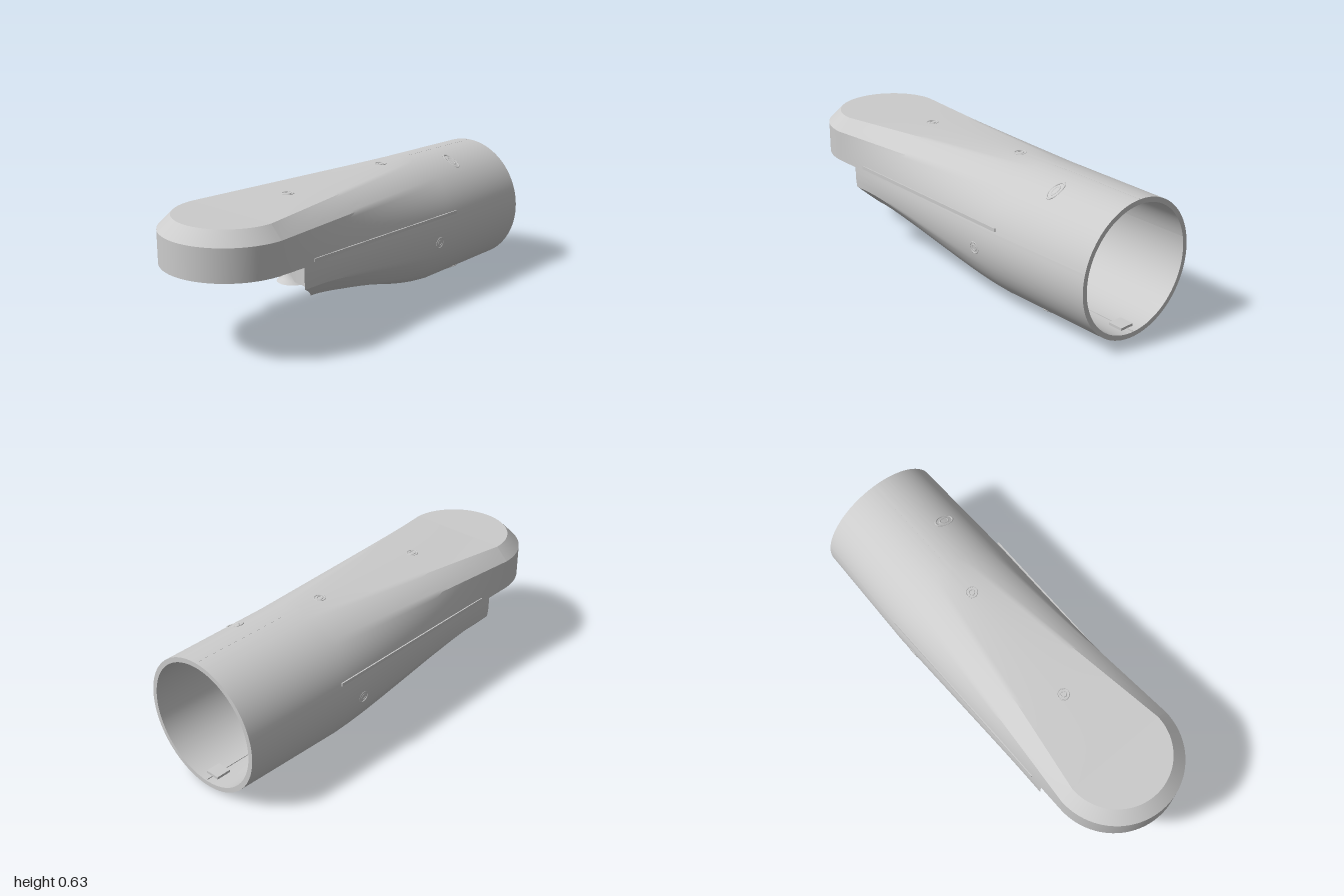
import * as THREE from 'three';
import { toCreasedNormals } from 'three/addons/utils/BufferGeometryUtils.js';

const mat = new THREE.MeshStandardMaterial({ color: 0xcccccc, side: THREE.DoubleSide });
const lerp = THREE.MathUtils.lerp;
const clamp = THREE.MathUtils.clamp;
const CY = 0.317;        // height of the tube axis
const NOSE_X = -0.69;    // centre of the round nose
const CUT_R = 0.337;     // radius of the concave cut under the nose
const NECK_X = 0.45;     // where the body becomes a round tube

// Half section: [z, y] at the nose and matching angle on the round tube
const KEYS = [
  [0, 0.6, 90], [0.25, 0.6, 76], [0.31, 0.54, 48], [0.31, 0.39, 13.3],
  [0.31, 0.29, -20], [0.25, 0.22, -48], [0, 0.22, -90],
];
const STEPS = 10;
// Underside height along the body
const keel = new THREE.SplineCurve([[-0.7, 0.22], [-0.44, 0.22], [-0.2, 0.165], [0, 0.105],
  [0.22, 0.042], [0.35, 0.013], [0.45, 0]].map(p => new THREE.Vector2(...p))).getPoints(80);

function keelAt(x) {
  const i = keel.findIndex(p => p.x >= x);
  if (i < 0) return 0;
  if (i === 0) return 0.22;
  const a = keel[i - 1], b = keel[i];
  return lerp(a.y, b.y, (x - a.x) / (b.x - a.x));
}

// Point of the body surface at key position u and length x
function bodyPoint(u, x, inner) {
  const k = Math.min(Math.floor(u), KEYS.length - 2), f = u - k;
  const [z0, y0, a0] = KEYS[k], [z1, y1, a1] = KEYS[k + 1];
  const a = THREE.MathUtils.degToRad(lerp(a0, a1, f));
  const s = clamp((x - NOSE_X) / (NECK_X - NOSE_X), 0, 1);
  const sy = u > 3 ? clamp((0.22 - keelAt(x)) / 0.22, 0, 1) : s;
  const m = clamp((x - NECK_X) / (1 - NECK_X), 0, 1);
  const rz = inner ? 0.29 : lerp(0.327, 0.3125, m);
  const ry = inner ? 0.29 : lerp(0.317, 0.3125, m);
  const g = inner ? 0.925 : 1;
  const z = lerp(lerp(z0, z1, f) * g, rz * Math.cos(a), s);
  const y = lerp(CY + (lerp(y0, y1, f) - CY) * g, CY + ry * Math.sin(a), sy);
  return [x, y, z];
}

// Where a strand of the lower body meets the concave cut
function cutX(u, inner) {
  let x = -0.5;
  for (let i = 0; i < 12; i++) {
    const z = bodyPoint(u, x, inner)[2];
    x = NOSE_X + Math.sqrt(Math.max(0, CUT_R * CUT_R - z * z));
  }
  return x;
}

// Quad surface from rows of points
function gridGeometry(rows) {
  const w = rows[0].length, index = [];
  for (let i = 0; i < rows.length - 1; i++) {
    for (let j = 0; j < w - 1; j++) {
      const a = i * w + j, b = a + 1, c = a + w, d = c + 1;
      index.push(a, c, b, b, c, d);
    }
  }
  const g = new THREE.BufferGeometry();
  g.setAttribute('position', new THREE.Float32BufferAttribute(rows.flat(2), 3));
  g.setIndex(index);
  return toCreasedNormals(g, 0.45);
}

// One strand running from the nose or cut to the tube mouth
function strand(u, side, inner, lower) {
  const x0 = lower ? cutX(u, inner) : NOSE_X, pts = [];
  for (let i = 0; i <= 28; i++) pts.push(bodyPoint(u, lerp(x0, NECK_X, i / 28), inner));
  pts.push(bodyPoint(u, 1, inner));
  return pts.map(([x, y, z]) => [x, y, z * side]);
}

// Strand positions over the top (0..3) or round the underside (3..6), both sides
function strands(lower) {
  const list = [], n = 3 * STEPS;
  for (let i = -n; i <= n; i++) {
    const t = Math.abs(i) / STEPS;
    list.push({ u: lower ? 6 - t : t, side: i < 0 ? -1 : 1 });
  }
  return list;
}

export function createModel() {
  const model = new THREE.Group();
  const add = (name, geometry, x = 0, y = 0, z = 0) => {
    const mesh = new THREE.Mesh(geometry, mat);
    mesh.name = name;
    mesh.position.set(x, y, z);
    model.add(mesh);
    return mesh;
  };

  // Hollow body: outer and inner skins, with a rim at the mouth
  for (const lower of [false, true]) {
    const label = lower ? 'lower' : 'upper', list = strands(lower);
    for (const inner of [false, true]) {
      const rows = list.map(({ u, side }) => strand(u, side, inner, lower));
      add(label + (inner ? 'InnerSkin' : 'OuterSkin'), gridGeometry(rows));
    }
    const rim = list.map(({ u, side }) => [false, true].map(inner => {
      const [x, y, z] = bodyPoint(u, 1, inner);
      return [x, y, z * side];
    }));
    add(label + 'MouthRim', gridGeometry(rim));
  }

  // Concave wall closing the lower body under the nose
  add('concaveWall', gridGeometry(strands(true).map(({ u, side }) => {
    const [x, y, z] = bodyPoint(u, cutX(u, false), false);
    return [[x, y, z * side], [x, 0.392, z * side]];
  })));

  // Round nose with a chamfered top edge
  const profile = [[0, 0.6], [0.25, 0.6], [0.31, 0.54], [0.31, 0.39]].map(p => new THREE.Vector2(...p));
  add('nose', toCreasedNormals(new THREE.LatheGeometry(profile, 48, Math.PI, Math.PI), 0.45), NOSE_X);

  // Mounting plate with a centre hole, curved slots and screw holes
  const plate = new THREE.Shape();
  plate.absarc(NOSE_X, 0, 0.308, Math.PI / 2, Math.PI * 1.5);
  [[-0.54, -0.308], [-0.48, -0.26], [-0.3, -0.2], [-0.3, 0.2], [-0.48, 0.26], [-0.54, 0.308]]
    .forEach(p => plate.lineTo(...p));
  const hole = (shape, x, y, r) => shape.holes.push(new THREE.Path().absarc(x, y, r, 0, Math.PI * 2, true));
  hole(plate, NOSE_X, 0, 0.06);
  for (const mid of [149, 211]) {
    const a = THREE.MathUtils.degToRad(mid - 20), b = THREE.MathUtils.degToRad(mid + 20);
    const slot = new THREE.Path();
    slot.absarc(NOSE_X, 0, 0.255, a, b, false);
    slot.absarc(NOSE_X, 0, 0.205, b, a, true);
    plate.holes.push(slot);
  }
  for (let i = 0; i < 8; i++) {
    const a = (i + 0.5) * Math.PI / 4, r = i % 2 ? 0.12 : 0.15;
    hole(plate, NOSE_X + r * Math.cos(a), r * Math.sin(a), 0.011);
  }
  const plateGeo = new THREE.ExtrudeGeometry(plate, { depth: 0.025, bevelEnabled: false, curveSegments: 32 });
  add('mountingPlate', plateGeo.rotateX(Math.PI / 2), 0, 0.415);

  // Bulkhead ring inside the neck
  const ring = new THREE.Shape(), ang = Math.asin(0.245 / 0.29);
  ring.absarc(0, 0, 0.29, -ang, ang);
  ring.absarc(0, 0, 0.29, Math.PI - ang, Math.PI + ang);
  hole(ring, 0, 0, 0.227);
  for (const s of [-1, 1]) {
    for (const t of [-1, 1]) hole(ring, s * 0.183, t * 0.183, 0.015);
    hole(ring, s * 0.259, 0, 0.015);
    for (const [y, w, h] of [[-0.085, 0.015, 0.033], [0.087, 0.008, 0.015]]) {
      const x = s * (y < 0 ? 0.242 : 0.252);
      ring.holes.push(new THREE.Path([[-w, -h], [-w, h], [w, h], [w, -h]]
        .map(([a, b]) => new THREE.Vector2(x + a, y + b))));
    }
  }
  const ringGeo = new THREE.ExtrudeGeometry(ring, { depth: 0.06, bevelEnabled: false, curveSegments: 32 });
  add('bulkhead', ringGeo.rotateY(Math.PI / 2), 0.4, CY);

  // Flared screw post inside the body
  const post = [[0.075, 0.195], [0.055, 0.21], [0.042, 0.23], [0.037, 0.26], [0.037, 0.595]];
  add('screwPost', new THREE.LatheGeometry(post.map(p => new THREE.Vector2(...p)), 24), -0.32);

  // Screw sockets: a fine rim round a recessed centre, facing along a normal
  const socket = (name, x, y, z, normal, r, stretch = 1) => {
    const group = new THREE.Group();
    group.name = name;
    group.add(new THREE.Mesh(new THREE.TorusGeometry(r, 0.003, 8, 28), mat));
    group.add(new THREE.Mesh(new THREE.TorusGeometry(r * 0.5, 0.003, 8, 20), mat));
    group.scale.y = stretch;
    group.position.set(x, y, z);
    group.quaternion.setFromUnitVectors(new THREE.Vector3(0, 0, 1), new THREE.Vector3(...normal).normalize());
    model.add(group);
  };
  for (const x of [-0.345, 0.285]) socket('topSocket', x, bodyPoint(0, x)[1], 0, [0, 1, 0], 0.026);
  for (const s of [-1, 1]) {
    socket('sideSocket', 0.35, 0.283, s * 0.322, [0, -0.08, s], 0.026);
    socket('obliqueSocket', 0.66, CY + s * 0.281, 0.142, [0, s * 0.281, 0.142], 0.025, 2);

    // Side rails along the seam
    const start = bodyPoint(3, -0.5), end = bodyPoint(3, 0.48);
    const rail = add('sideRail', new THREE.BoxGeometry(0.98, 0.016, 0.006),
      -0.01, 0.408, s * (start[2] + end[2]) / 2);
    rail.rotation.y = -s * Math.atan2(end[2] - start[2], 0.98);

    // Key line and clip at the top and bottom of the tube
    const line = add('keyLine', new THREE.BoxGeometry(0.49, 0.028, 0.004), 0.75, CY + s * 0.301);
    line.rotation.z = -s * 0.0082;
    add('mouthClip', new THREE.BoxGeometry(0.07, 0.012, 0.07), 0.93, CY + s * 0.282);
  }
  return model;
}
